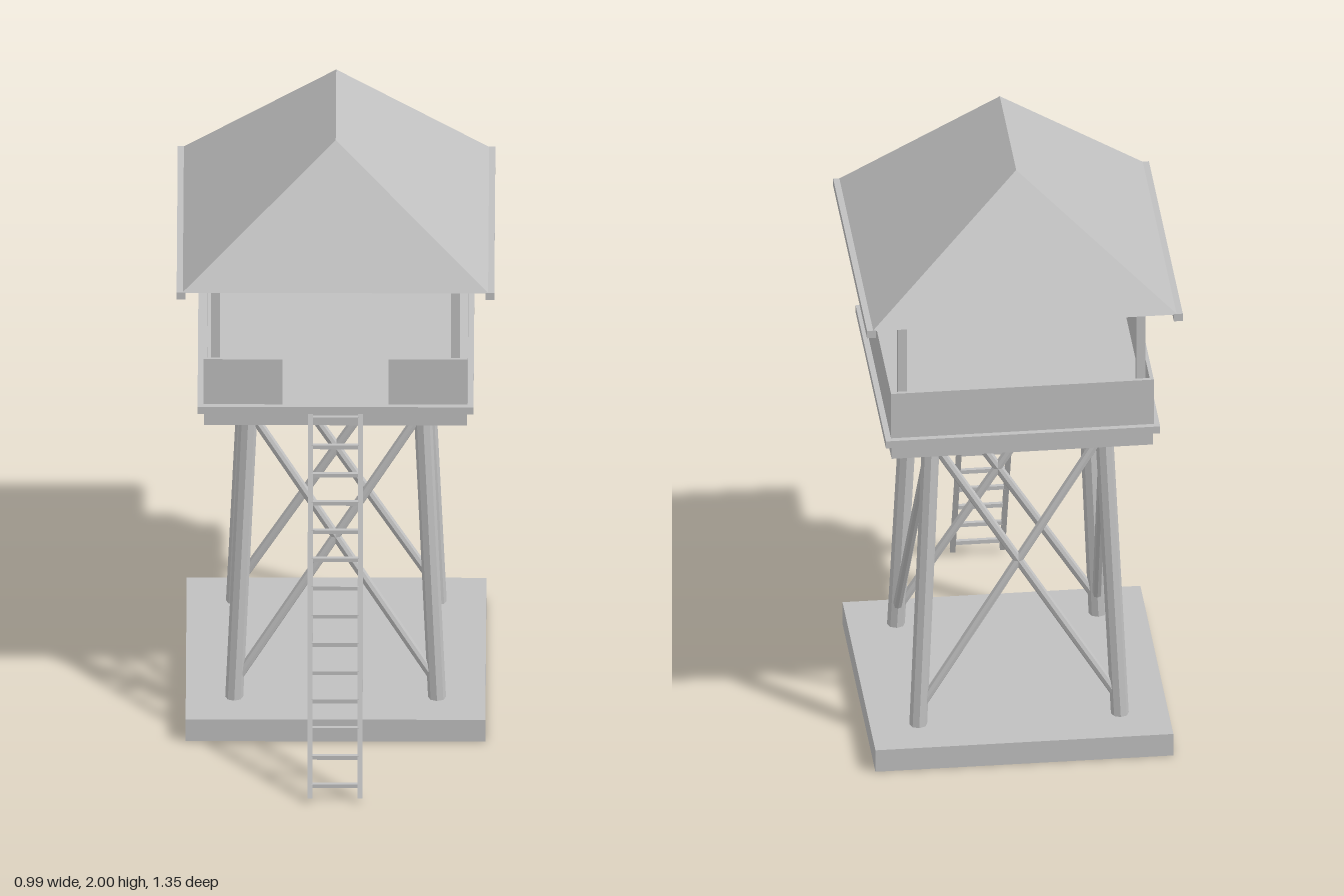
import * as THREE from 'three';

export function createModel() {
  const model = new THREE.Group();
  model.name = 'watchtower';
  const grey = new THREE.MeshStandardMaterial({ color: 0xc0c0c0, side: THREE.DoubleSide, flatShading: true });
  grey.name = 'plain grey';

  const CZ = -0.195; // tower axis, set back to make room for the ladder
  const V = (x, y, z) => new THREE.Vector3(x, y, z);

  function add(name, geometry) {
    const mesh = new THREE.Mesh(geometry, grey);
    mesh.name = name;
    model.add(mesh);
    return mesh;
  }
  // box given by its lower and upper limits
  function box(name, x0, x1, y0, y1, z0, z1) {
    add(name, new THREE.BoxGeometry(x1 - x0, y1 - y0, z1 - z0))
      .position.set((x0 + x1) / 2, (y0 + y1) / 2, (z0 + z1) / 2);
  }
  // straight member between two points: square or round
  function bar(name, a, b, size, sides = 0) {
    const dir = b.clone().sub(a);
    const len = dir.length();
    const geometry = sides
      ? new THREE.CylinderGeometry(size / 2, size / 2, len, sides)
      : new THREE.BoxGeometry(size, len, size);
    const mesh = add(name, geometry);
    mesh.position.copy(a).add(b).multiplyScalar(0.5);
    mesh.quaternion.setFromUnitVectors(V(0, 1, 0), dir.normalize());
  }

  // foundation
  box('foundation', -0.467, 0.467, 0, 0.077, CZ - 0.467, CZ + 0.467);

  // splayed legs: point on a leg's axis at a given height
  const onLeg = (sx, sz, y) => {
    const r = 0.316 - (y - 0.077) * 0.045;
    return V(sx * r, y, CZ + sz * r);
  };
  for (const sx of [-1, 1]) {
    for (const sz of [-1, 1]) bar('leg', onLeg(sx, sz, 0.07), onLeg(sx, sz, 1.1), 0.056, 8);
  }

  // crossed braces on front and back, single diagonal on each side
  for (const s of [-1, 1]) {
    for (const sx of [-1, 1]) bar('crossBrace', onLeg(sx, s, 0.13), onLeg(-sx, s, 1.07), 0.03, 8);
    bar('sideBrace', onLeg(s, 1, 0.13), onLeg(s, -1, 1.07), 0.03, 8);
  }

  // platform
  box('platformFrame', -0.41, 0.41, 1.088, 1.138, CZ - 0.41, CZ + 0.41);
  box('deck', -0.43, 0.43, 1.138, 1.163, CZ - 0.43, CZ + 0.43);

  // parapet with an entrance gap at the front
  const P = 0.412, T = 0.012, y0 = 1.163, y1 = 1.322;
  box('backParapet', -P, P, y0, y1, CZ - P, CZ - P + T);
  for (const s of [-1, 1]) {
    const side = s * (P - T / 2);
    box('sideParapet', side - T / 2, side + T / 2, y0, y1, CZ - P + T, CZ + P - T);
    const mid = s * (P + 0.165) / 2, half = (P - 0.165) / 2;
    box('frontParapet', mid - half, mid + half, y0, y1, CZ + P - T, CZ + P);
  }

  // roof posts and the headers across them
  for (const sz of [-1, 1]) {
    const z = CZ + sz * 0.376;
    for (const sx of [-1, 1]) {
      box('roofPost', sx * 0.374 - 0.014, sx * 0.374 + 0.014, 1.163, 1.563, z - 0.014, z + 0.014);
    }
    box('header', -0.389, 0.389, 1.563, 1.592, z - 0.014, z + 0.014);
  }

  // hollow hipped roof
  const X = 0.478, ye = 1.592, zf = 0.283, zb = -0.678;
  const A = V(-X, ye, zf), B = V(X, ye, zf), C = V(X, ye, zb), D = V(-X, ye, zb);
  const E = V(0, 2, 0.035), F = V(0, 2, -0.43);
  const roof = new THREE.BufferGeometry().setFromPoints(
    [A, B, E, B, C, F, B, F, E, C, D, F, D, A, E, D, E, F]);
  roof.computeVertexNormals();
  add('roof', roof);
  for (const s of [-1, 1]) {
    box('eaveBoard', s * 0.481 - 0.014, s * 0.481 + 0.014, 1.568, 1.594, zb, zf);
  }

  // leaning ladder
  const foot = V(0, 0.012, 0.668), head = V(0, 1.135, 0.222);
  const side = x => [foot.clone().setX(x), head.clone().setX(x)];
  for (const s of [-1, 1]) bar('ladderRail', ...side(s * 0.078), 0.016);
  for (let i = 0; i < 14; i++) {
    const p = foot.clone().lerp(head, (0.038 + i * 0.0823) / 1.123);
    bar('rung', p.clone().setX(-0.074), p.clone().setX(0.074), 0.013);
  }

  return model;
}
